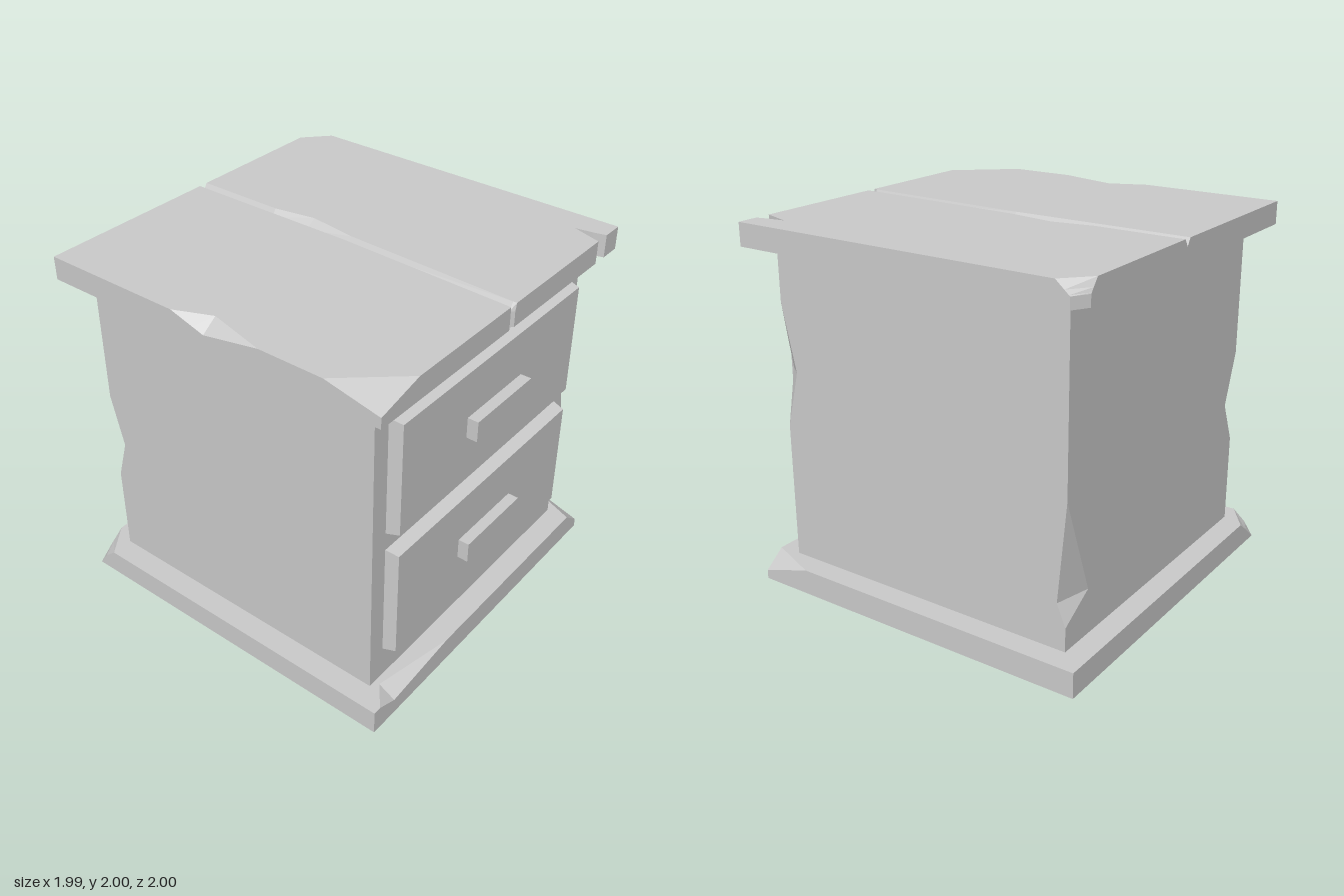
import * as THREE from 'three';

const material = new THREE.MeshStandardMaterial({ color: 0xcccccc, flatShading: true });
const S = 0.995; // half width of top and base
const B = 0.87; // half width of cabinet

// A feature is a list of keys [y, [x, z], [x, z], ...]; its points slide linearly from key to key.
const plain = (x, z) => [[0, [x, z]]];
const same = (y, n, x, z) => [y, ...Array(n).fill([x, z])];

function pointsAt(feature, y) {
  const last = feature[feature.length - 1];
  if (y <= feature[0][0]) return feature[0].slice(1);
  if (y >= last[0]) return last.slice(1);
  const i = feature.findIndex((key) => key[0] >= y);
  const lo = feature[i - 1], hi = feature[i];
  const t = (y - lo[0]) / (hi[0] - lo[0]);
  return lo.slice(1).map((p, k) => [p[0] + (hi[k + 1][0] - p[0]) * t, p[1] + (hi[k + 1][1] - p[1]) * t]);
}

// Stacks outlines (front left, front right, back right, back left) from y0 to y1 and caps the ends.
function chippedBlock(name, y0, y1, features) {
  const keys = features.flat().map((key) => key[0]).filter((y) => y > y0 && y < y1);
  const levels = [...new Set([y0, ...keys, y1])].sort((a, b) => a - b);
  const rings = levels.map((y) =>
    features.flatMap((f) => pointsAt(f, y)).map(([x, z]) => new THREE.Vector3(x, y, z)));
  const positions = [];
  const triangle = (a, b, c) => {
    if (new THREE.Triangle(a, b, c).getArea() < 1e-7) return;
    for (const p of [a, b, c]) positions.push(p.x, p.y, p.z);
  };

  for (let j = 0; j < rings.length - 1; j++) {
    const low = rings[j], high = rings[j + 1];
    low.forEach((a, i) => {
      const n = (i + 1) % low.length;
      triangle(a, low[n], high[n]);
      triangle(a, high[n], high[i]);
    });
  }

  const cap = (ring, up) => {
    const pts = ring.filter((p, i) => p.distanceTo(ring[(i + 1) % ring.length]) > 1e-5);
    const flat = pts.map((p) => new THREE.Vector2(p.x, -p.z));
    for (const [i, j, k] of THREE.ShapeUtils.triangulateShape(flat, [])) {
      const ccw = THREE.ShapeUtils.area([flat[i], flat[j], flat[k]]) > 0;
      if (ccw === up) triangle(pts[i], pts[j], pts[k]);
      else triangle(pts[i], pts[k], pts[j]);
    }
  };
  cap(rings[0], false);
  cap(rings[rings.length - 1], true);

  const geometry = new THREE.BufferGeometry();
  geometry.setAttribute('position', new THREE.Float32BufferAttribute(positions, 3));
  geometry.computeVertexNormals();
  const mesh = new THREE.Mesh(geometry, material);
  mesh.name = name;
  return mesh;
}

function box(name, w, h, d, y, z, inset = 0) {
  const geometry = new THREE.BoxGeometry(w, h, d);
  const p = geometry.attributes.position;
  // Draw in the front face to slope the sides
  for (let i = 0; i < p.count; i++) {
    if (p.getZ(i) < 0) continue;
    p.setX(i, p.getX(i) - Math.sign(p.getX(i)) * inset);
    p.setY(i, p.getY(i) - Math.sign(p.getY(i)) * inset);
  }
  geometry.computeVertexNormals();
  const mesh = new THREE.Mesh(geometry, material);
  mesh.name = name;
  mesh.position.set(0, y, z);
  return mesh;
}

export function createModel() {
  const model = new THREE.Group();
  model.name = 'nightstand';

  // Base with a nicked front edge and two broken corners
  model.add(chippedBlock('base', 0, 0.14, [
    plain(-S, S),
    [same(0.09, 3, -0.83, S), [0.14, [-0.95, S], [-0.83, 0.9], [-0.37, S]]],
    [same(0.05, 2, S, S), [0.14, [0.88, S], [S, 0.7]]],
    plain(S, -S),
    [same(0, 2, -S, -S), [0.08, [-0.9, -S], [-S, -0.94]], [0.14, [-0.82, -S], [-S, -0.87]]],
  ]));

  // Cabinet with three chipped upright edges
  model.add(chippedBlock('cabinet', 0.14, 1.875, [
    plain(-B, B),
    [same(0.9, 2, B, B), [1.21, [0.81, B], [B, 0.79]], same(1.58, 2, B, B)],
    [same(0.27, 2, B, -B), [0.39, [B, -0.82], [0.67, -B]], same(0.93, 2, B, -B)],
    [same(0.64, 2, -B, -B), [0.87, [-0.77, -B], [-B, -0.8]], same(1.16, 2, -B, -B)],
  ]));

  // Top: a lower slab and two planks that leave a crack between them
  const frontLeft = [same(1.935, 2, -S, S), [2, [-S, 0.69], [-0.73, S]]];
  const frontNotch = [[0, [0.79, S], [0.845, 0.83], [0.86, 0.93], [0.875, S]]];
  const backRight = [[1.935, [S, -0.945], [0.91, -S]], [2, [S, -0.87], [0.86, -S]]];
  const sideNick = [same(1.94, 3, -S, 0), [2, [-S, -0.2], [-0.91, 0], [-S, 0.33]]];
  const slit = [[0, [-0.02, S], [0, 0.975], [0.02, S]]];
  const crackLeft = [
    [1.96, [-0.02, S], [0, 0.975], [0.045, 0], [0.045, -S]],
    [2, [-0.025, S], [-0.02, 0.975], [0.02, 0], [0.02, -S]],
  ];
  const crackRight = [
    [1.96, [0.045, -S], [0.045, -0.5], [0.045, -0.27], [0.045, 0], [0, 0.975], [0.02, S]],
    [2, [0.07, -S], [0.07, -0.5], [0.11, -0.27], [0.07, 0], [0.028, 0.975], [0.03, S]],
  ];
  const top = new THREE.Group();
  top.name = 'top';
  top.add(
    chippedBlock('topSlab', 1.875, 1.96,
      [frontLeft, slit, frontNotch, plain(S, S), backRight, plain(-S, -S), sideNick]),
    chippedBlock('rightPlank', 1.96, 2, [frontLeft, crackLeft, plain(-S, -S), sideNick]),
    chippedBlock('leftPlank', 1.96, 2, [crackRight, frontNotch, plain(S, S), backRight]),
  );
  model.add(top);

  // Two drawers with bar handles
  for (const [name, y] of [['lowerDrawer', 0.657], ['upperDrawer', 1.42]]) {
    const drawer = new THREE.Group();
    drawer.name = name;
    drawer.add(
      box('drawerFront', 1.54, 0.66, 0.07, y, 0.905, 0.015),
      box('handle', 0.47, 0.115, 0.06, y, 0.97),
    );
    model.add(drawer);
  }
  return model;
}
